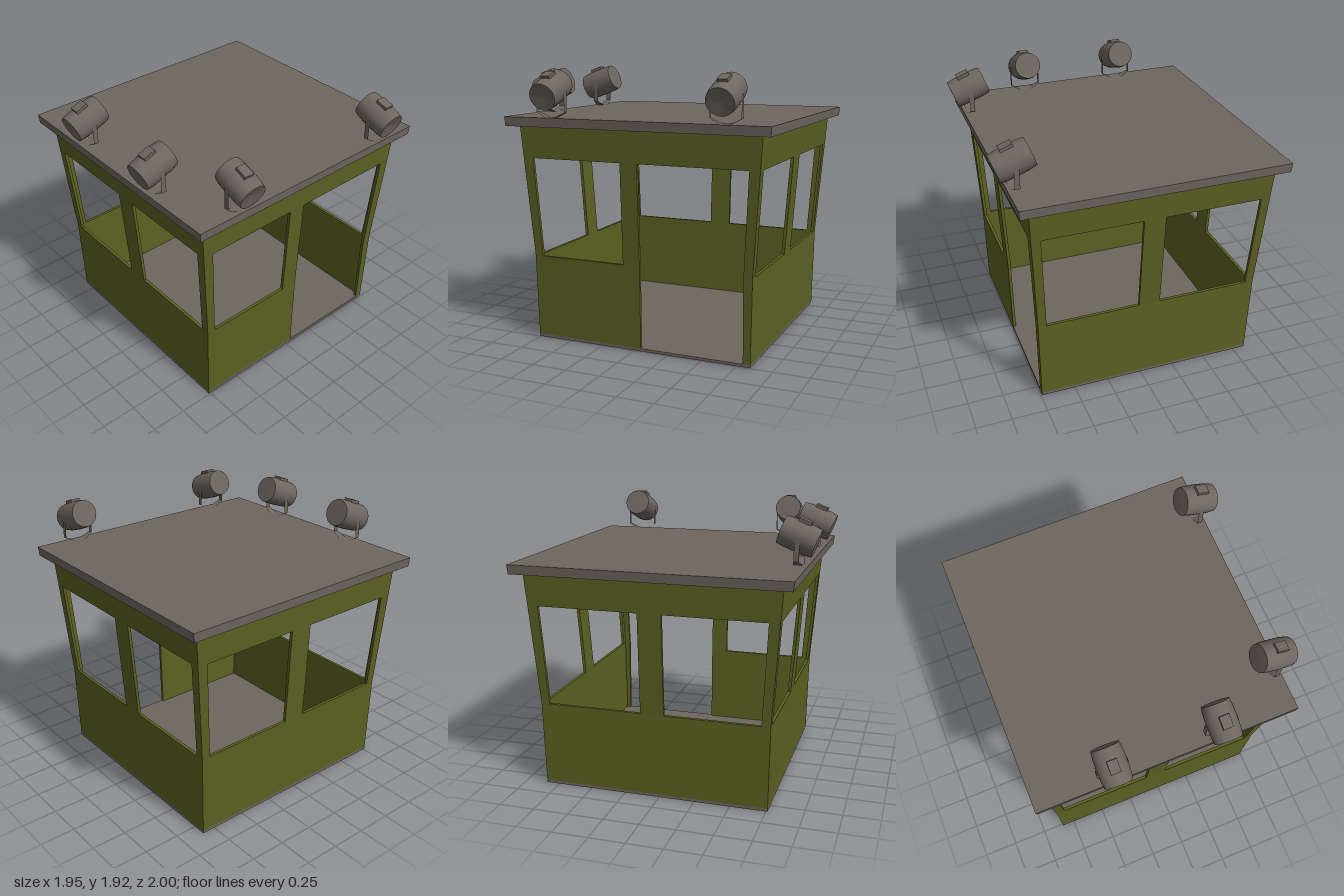
import * as THREE from 'three';

const olive = new THREE.MeshStandardMaterial({ color: 0x5b6122 });
olive.name = 'olive paint';
const metal = new THREE.MeshStandardMaterial({ color: 0x6e665f, side: THREE.DoubleSide });
metal.name = 'grey brown metal';

const FLOOR = 0.02, SILL = 0.605, HEAD = 1.31, TOP = 1.54, WALL = 0.022;

// Half extents of the cabin at the floor, the sill and the top
const HALF_X = [0.792, 0.803, 0.849];
const HALF_Z = [0.803, 0.813, 0.882];

function halfAt(h, y) {
  return y < SILL
    ? THREE.MathUtils.mapLinear(y, FLOOR, SILL, h[0], h[1])
    : THREE.MathUtils.mapLinear(y, SILL, TOP, h[1], h[2]);
}

function add(parent, name, geometry, material) {
  const mesh = new THREE.Mesh(geometry, material);
  mesh.name = name;
  parent.add(mesh);
  return mesh;
}

// Flat outline given thickness, leaned to the wall slope and mitred at the corners
function panel(points, along, out) {
  const shape = new THREE.Shape(points.map(([x, y]) => new THREE.Vector2(x, y)));
  const geo = new THREE.ExtrudeGeometry(shape, { depth: WALL, bevelEnabled: false });
  const p = geo.attributes.position;
  for (let i = 0; i < p.count; i++) {
    const x = p.getX(i), y = p.getY(i), z = p.getZ(i);
    const corner = Math.abs(x) > halfAt(along, y) - 0.001;
    if (corner && z < WALL / 2) p.setX(i, x - Math.sign(x) * WALL);
    p.setZ(i, halfAt(out, y) + z - WALL);
  }
  geo.computeVertexNormals();
  return geo;
}

// Wall with two openings; l and r are the sides of the middle post
function wall(parent, name, angle, along, out, sill, head, l, r, door) {
  const g = new THREE.Group();
  g.name = name;
  g.rotation.y = angle;
  parent.add(g);
  const [a, b, c] = along;
  add(g, 'windowFrame', panel([
    [-b, SILL], [-sill, SILL], [-head, HEAD], [l, HEAD], [l, SILL],
    [r, SILL], [r, HEAD], [head, HEAD], [sill, SILL], [b, SILL],
    [c, TOP], [-c, TOP],
  ], along, out), olive);
  if (door) {
    add(g, 'lowerPanel', panel([[-a, FLOOR], [r, FLOOR], [r, SILL], [-b, SILL]], along, out), olive);
    add(g, 'doorPost', panel([[sill, FLOOR], [a, FLOOR], [b, SILL], [sill, SILL]], along, out), olive);
  } else {
    add(g, 'lowerPanel', panel([[-a, FLOOR], [a, FLOOR], [b, SILL], [-b, SILL]], along, out), olive);
  }
}

// Bent strip cradle: rows of x, y and half width
function yokeGeometry() {
  const side = [[-0.107, 0.19, 0.018], [-0.107, 0.037, 0.018], [-0.036, 0.002, 0.032]];
  const rows = [...side, ...side.map(([x, y, w]) => [-x, y, w]).reverse()];
  const pos = [], index = [];
  rows.forEach(([x, y, w], i) => {
    pos.push(x, y, w, x, y, -w);
    if (i) {
      const k = 2 * i;
      index.push(k - 2, k, k - 1, k - 1, k, k + 1);
    }
  });
  const geo = new THREE.BufferGeometry();
  geo.setAttribute('position', new THREE.Float32BufferAttribute(pos, 3));
  geo.setIndex(index);
  const flat = geo.toNonIndexed();
  flat.computeVertexNormals();
  return flat;
}

// Floodlight facing +z with its foot at the origin
function floodlight(parent, name, x, z, angle) {
  const g = new THREE.Group();
  g.name = name;
  g.position.set(x, 1.6, z);
  g.rotation.y = angle;
  parent.add(g);
  add(g, 'yoke', yokeGeometry(), metal);

  const head = new THREE.Group();
  head.name = 'lampHead';
  head.position.y = 0.186;
  head.rotation.x = 0.36;
  g.add(head);
  const lathe = (pts) => new THREE.LatheGeometry(
    pts.map(([r, y]) => new THREE.Vector2(r, y)), 32).rotateX(Math.PI / 2);
  add(head, 'housing', lathe([[0.096, -0.125], [0.102, -0.08], [0.104, 0], [0.102, 0.08], [0.096, 0.125]]), metal);
  add(head, 'backCap', lathe([[0, -0.127], [0.096, -0.125]]), metal);
  add(head, 'lens', lathe([[0.096, 0.125], [0, 0.112]]), metal);
  add(head, 'topBox', new THREE.BoxGeometry(0.068, 0.03, 0.088), metal).position.set(0, 0.104, 0);
}

export function createModel() {
  const model = new THREE.Group();
  model.name = 'guardCabin';

  const cabin = new THREE.Group();
  cabin.name = 'cabin';
  cabin.position.set(-0.05, 0, -0.041);
  model.add(cabin);

  // Floor and roof slabs
  add(cabin, 'floor', new THREE.BoxGeometry(2 * HALF_X[0], FLOOR, 2 * HALF_Z[0]), metal)
    .position.y = FLOOR / 2;
  const roof = new THREE.BoxGeometry(1.85, 0.065, 1.916);
  const p = roof.attributes.position;
  for (let i = 0; i < p.count; i++) {
    if (p.getY(i) < 0) p.setXYZ(i, p.getX(i) * 0.994, p.getY(i), p.getZ(i) * 0.994);
  }
  roof.computeVertexNormals();
  add(cabin, 'roof', roof, metal).position.y = 1.5675;

  // Four walls, the left one carrying the door
  wall(cabin, 'frontWall', 0, HALF_X, HALF_Z, 0.743, 0.773, -0.077, 0.077, false);
  wall(cabin, 'backWall', Math.PI, HALF_X, HALF_Z, 0.743, 0.773, -0.077, 0.077, false);
  wall(cabin, 'rightWall', -Math.PI / 2, HALF_Z, HALF_X, 0.751, 0.791, -0.083, 0.083, false);
  wall(cabin, 'leftWall', Math.PI / 2, HALF_Z, HALF_X, 0.751, 0.791, -0.116, 0.009, true);

  // Floodlights along two roof edges
  for (const x of [-0.425, 0.328]) floodlight(model, 'frontFloodlight', x, 0.848, 0);
  for (const z of [0.565, -0.69]) floodlight(model, 'sideFloodlight', 0.826, z, Math.PI / 2);

  return model;
}
